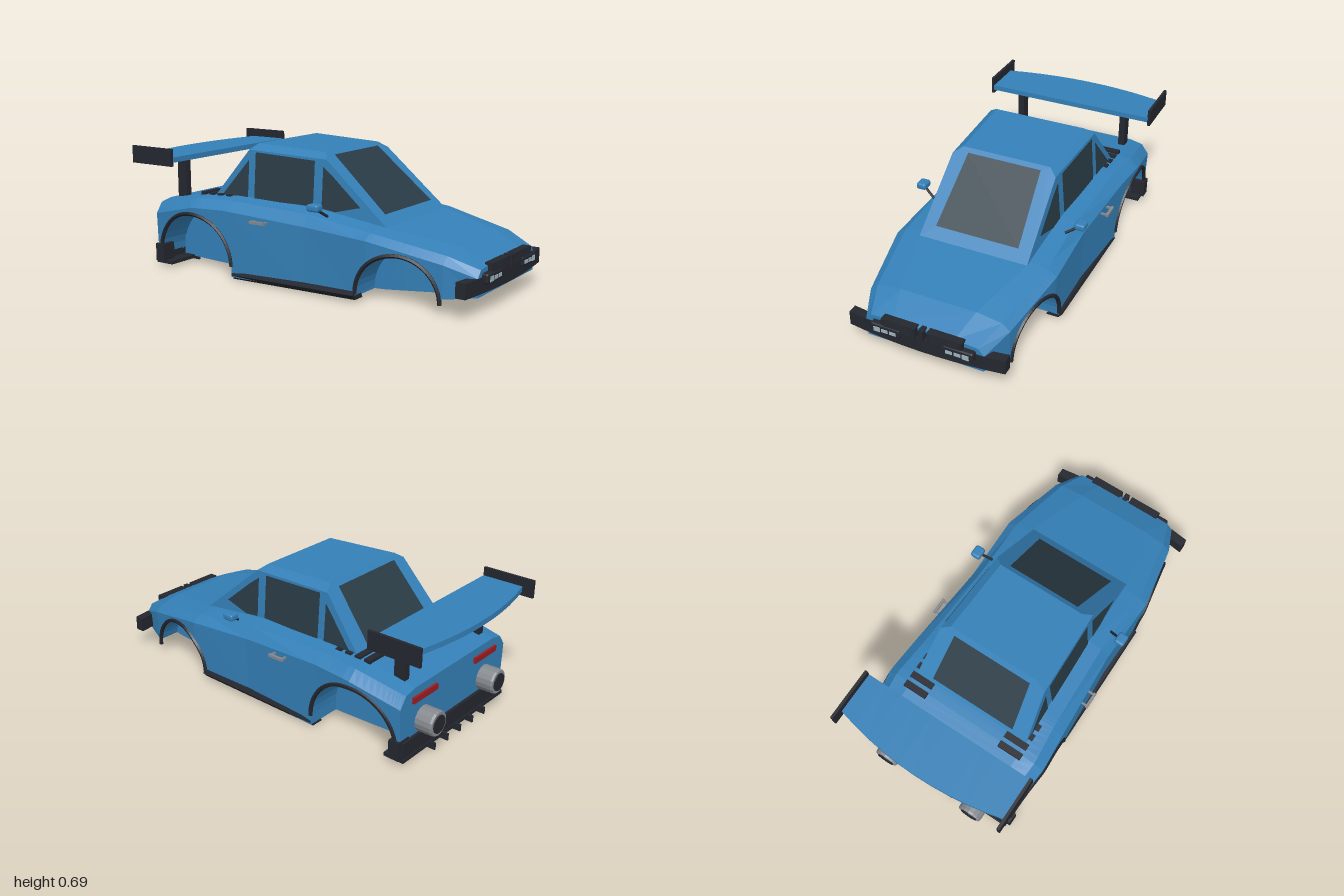
import * as THREE from 'three';
import { ConvexGeometry } from 'three/addons/geometries/ConvexGeometry.js';
import { RoundedBoxGeometry } from 'three/addons/geometries/RoundedBoxGeometry.js';

const mat = (color) => new THREE.MeshStandardMaterial({ color, flatShading: true, side: THREE.DoubleSide });

// Body sections: x, floor y, then z,y pairs as: sill z, waist y,z, shoulder y,z, deck y,z
const KEYS = [
  [-0.88, 0.03, 0.43, 0.29, 0.44, 0.345, 0.40, 0.36, 0.33],
  [-0.60, 0.02, 0.45, 0.355, 0.47, 0.40, 0.42, 0.41, 0.33],
  [-0.40, 0.015, 0.445, 0.36, 0.455, 0.405, 0.40, 0.42, 0.32],
  [0.08, 0.015, 0.42, 0.33, 0.425, 0.385, 0.38, 0.405, 0.30],
  [0.45, 0.035, 0.43, 0.31, 0.438, 0.34, 0.39, 0.355, 0.30],
  [0.82, 0.075, 0.365, 0.235, 0.37, 0.27, 0.33, 0.29, 0.20],
  [0.965, 0.09, 0.305, 0.18, 0.31, 0.215, 0.28, 0.225, 0.16],
];
const ARCHES = [{ x: -0.61, y: 0.07, r: 0.25 }, { x: 0.595, y: 0.045, r: 0.21 }];
const WELL_Z = 0.25;

function sectionAt(x) {
  let i = 0;
  while (i < KEYS.length - 2 && x > KEYS[i + 1][0]) i++;
  const a = KEYS[i], b = KEYS[i + 1], t = (x - a[0]) / (b[0] - a[0]);
  return a.map((v, k) => v + (b[k] - v) * t);
}

// Width of the lower side panel at a given height
function panelZ(x, y) {
  const [, floor, sill, waistY, waistZ] = sectionAt(x);
  return sill + (waistZ - sill) * (y - floor) / (waistY - floor);
}

// Closed ring of one cross-section; archY lifts the side to open the wheel well
function ringAt(x, archY) {
  const [, floor, , waistY, waistZ, shY, shZ, topY, topZ] = sectionAt(x);
  const ay = Math.max(archY ?? floor, floor);
  const half = [[WELL_Z, floor], [WELL_Z, ay], [panelZ(x, ay), ay],
    [waistZ, waistY], [shZ, shY], [topZ, topY]];
  return [...half, ...half.map(([z, y]) => [-z, y]).reverse()].map(([z, y]) => [x, y, z]);
}

function bodyGeometry() {
  const stations = KEYS.map((k) => [k[0]]).filter(([x]) => !ARCHES.some((a) => Math.abs(x - a.x) <= a.r));
  for (const a of ARCHES) {
    const samples = [];
    for (let i = 0; i <= 20; i++) {
      const t = Math.PI * (1 - i / 20);
      samples.push([a.x + a.r * Math.cos(t), a.y + a.r * Math.sin(t)]);
    }
    stations.push([a.x - a.r], ...samples, [a.x + a.r]);
  }
  stations.sort((p, q) => Math.abs(p[0] - q[0]) < 1e-6 ? 0 : p[0] - q[0]);
  const rings = stations.map(([x, y]) => ringAt(x, y));
  const pos = [], n = rings[0].length, last = rings.length - 1;
  for (let j = 0; j < n; j++) {
    const k = (j + 1) % n;
    for (let i = 0; i < last; i++) {
      const a = rings[i][j], b = rings[i][k], c = rings[i + 1][j], d = rings[i + 1][k];
      pos.push(...a, ...c, ...b, ...b, ...c, ...d);
    }
    pos.push(-0.88, 0.2, 0, ...rings[0][j], ...rings[0][k]);
    pos.push(0.965, 0.15, 0, ...rings[last][k], ...rings[last][j]);
  }
  const g = new THREE.BufferGeometry();
  g.setAttribute('position', new THREE.Float32BufferAttribute(pos, 3));
  g.computeVertexNormals();
  return g;
}

// Flat convex pane from a list of corners
function paneGeometry(corners) {
  const pos = [];
  for (let i = 1; i < corners.length - 1; i++) pos.push(...corners[0], ...corners[i], ...corners[i + 1]);
  const g = new THREE.BufferGeometry();
  g.setAttribute('position', new THREE.Float32BufferAttribute(pos, 3));
  g.computeVertexNormals();
  return g;
}

export function createModel() {
  const car = new THREE.Group();
  car.name = 'sportsCar';
  const blue = mat(0x3480b8), dark = mat(0x24272f), glass = mat(0x2a3c46);
  const grey = mat(0x85898e), red = mat(0x9c1c22), lens = mat(0x9fb4c0);
  const add = (name, geometry, material) => {
    const m = new THREE.Mesh(geometry, material);
    m.name = name;
    car.add(m);
    return m;
  };
  // Box given by its extents
  const box = (name, material, x0, x1, y0, y1, z0, z1) => {
    const m = add(name, new THREE.BoxGeometry(x1 - x0, y1 - y0, Math.abs(z1 - z0)), material);
    m.position.set((x0 + x1) / 2, (y0 + y1) / 2, (z0 + z1) / 2);
    return m;
  };

  add('body', bodyGeometry(), blue);

  // Cabin
  const sideZ = (x, y) => 0.33 - 0.08 * (y - 0.41) - 0.04 * (x + 0.55);
  const frontX = (y) => 0.09 + (0.675 - y) * 1.185;
  const rearX = (y) => -0.32 - (0.69 - y) * 0.82;
  const hull = [];
  for (const s of [1, -1]) {
    for (const [x, y] of [[rearX(0.36), 0.36], [rearX(0.66), 0.66], [frontX(0.645), 0.645], [frontX(0.35), 0.35]])
      hull.push(new THREE.Vector3(x, y, s * sideZ(x, y)));
    hull.push(new THREE.Vector3(-0.32, 0.69, s * 0.255), new THREE.Vector3(0.09, 0.675, s * 0.24));
  }
  add('cabin', new ConvexGeometry(hull), blue);

  // Windows
  const endPane = (name, lineX, off, yTop, zTop, yLow, zLow) => add(name, paneGeometry(
    [[yTop, zTop], [yTop, -zTop], [yLow, -zLow], [yLow, zLow]].map(([y, z]) => [lineX(y) + off, y + 0.003, z])), glass);
  endPane('windshield', frontX, 0.004, 0.657, 0.2, 0.395, 0.225);
  endPane('rearWindow', rearX, -0.004, 0.665, 0.22, 0.435, 0.24);
  const sidePanes = {
    doorWindow: [[-0.3, 0.65], [0.06, 0.635], [0.06, 0.41], [-0.3, 0.41]],
    rearQuarterWindow: [[-0.34, 0.61], [-0.34, 0.415], [-0.505, 0.415]],
    frontQuarterWindow: [[0.11, 0.61], [0.17, 0.565], [0.33, 0.43], [0.19, 0.395], [0.11, 0.405]],
  };

  for (const s of [1, -1]) {
    const side = s > 0 ? 'Left' : 'Right';
    for (const [name, pts] of Object.entries(sidePanes))
      add(name + side, paneGeometry(pts.map(([x, y]) => [x, y, s * (sideZ(x, y) + 0.004)])), glass);

    // Wheel arch trims
    for (const a of ARCHES) {
      const pts = [];
      for (let i = 0; i <= 20; i++) {
        const t = Math.PI * i / 20;
        const x = a.x + a.r * Math.cos(t), y = a.y + a.r * Math.sin(t);
        pts.push(new THREE.Vector3(x, y, s * panelZ(x, y)));
      }
      add('archTrim' + side, new THREE.TubeGeometry(new THREE.CatmullRomCurve3(pts), 32, 0.011, 5), dark);
    }

    // Side skirt: slanted lip under the sill
    const lip = [];
    for (const [x, y] of [[-0.36, 0.002], [0.385, 0.014]])
      for (const [z, h] of [[0.36, 0], [0.425, 0], [0.447, 0.025], [0.44, 0.042], [0.38, 0.042]])
        lip.push(new THREE.Vector3(x, y + h, s * z));
    add('sideSkirt' + side, new ConvexGeometry(lip), dark);

    // Door handle
    box('doorHandle' + side, grey, -0.21, -0.12, 0.32, 0.334, s * 0.466, s * 0.48);
    for (const x of [-0.205, -0.135]) box('handleMount' + side, grey, x, x + 0.01, 0.322, 0.332, s * 0.42, s * 0.468);

    // Mirror on its arm
    const mirror = add('mirror' + side, new RoundedBoxGeometry(0.065, 0.036, 0.054, 2, 0.012), blue);
    mirror.position.set(0.165, 0.437, s * 0.443);
    add('mirrorArm' + side, new THREE.TubeGeometry(new THREE.LineCurve3(
      new THREE.Vector3(0.19, 0.385, s * 0.37), new THREE.Vector3(0.168, 0.428, s * 0.435)), 1, 0.007, 6), dark);

    // Deck vents
    [-0.638, -0.582, -0.525, -0.468].forEach((x) => box('deckVent' + side, dark, x, x + 0.034, 0.395, 0.42, s * 0.22, s * 0.35));

    // Spoiler post and end plate
    box('spoilerPost' + side, dark, -0.82, -0.76, 0.36, 0.585, s * 0.295, s * 0.33);
    box('spoilerEndPlate' + side, dark, -1, -0.72, 0.56, 0.652, s * 0.468, s * 0.483);

    // Exhaust pipe with dark bore
    const pipe = [[0.045, -0.02], [0.045, 0.1], [0.06, 0.1], [0.065, 0.09], [0.065, 0]].map(([r, y]) => new THREE.Vector2(r, y));
    const bore = new THREE.CylinderGeometry(0.046, 0.046, 0.07, 16);
    const exhaust = add('exhaust' + side, new THREE.LatheGeometry(pipe, 16), grey);
    const inner = add('exhaustBore' + side, bore, dark);
    for (const m of [exhaust, inner]) m.rotation.z = Math.PI / 2;
    exhaust.position.set(-0.87, 0.175, s * 0.26);
    inner.position.set(-0.94, 0.175, s * 0.26);

    // Tail light and rear corner flap
    box('tailLight' + side, red, -0.892, -0.87, 0.287, 0.317, s * 0.16, s * 0.35);
    box('rearCorner' + side, dark, -0.885, -0.828, 0.03, 0.125, s * 0.37, s * 0.45);

    // Grille with slats
    box('grille' + side, dark, 0.95, 0.992, 0.175, 0.235, s * 0.03, s * 0.21);
    for (let i = 0; i < 4; i++) {
      const y = 0.186 + i * 0.012;
      box('grilleSlat' + side, dark, 0.99, 0.996, y, y + 0.005, s * 0.045, s * 0.195);
    }

    // Headlight with three lenses
    const lamp = add('headlight' + side, new RoundedBoxGeometry(0.05, 0.05, 0.158, 2, 0.01), dark);
    lamp.position.set(0.972, 0.173, s * 0.19);
    for (const [z, w, h] of [[0.232, 0.034, 0.026], [0.19, 0.034, 0.018], [0.147, 0.034, 0.018]])
      box('headlightLens' + side, lens, 0.985, 1, 0.17 - h / 2, 0.17 + h / 2, s * (z - w / 2), s * (z + w / 2));
  }
  box('grilleCentre', dark, 0.95, 0.994, 0.175, 0.235, -0.013, 0.013);

  // Front bumper, ends swept back
  const bumper = new THREE.BoxGeometry(0.05, 0.075, 0.82, 1, 1, 10);
  const bp = bumper.attributes.position;
  for (let i = 0; i < bp.count; i++) bp.setX(i, bp.getX(i) - 0.03 * (bp.getZ(i) / 0.41) ** 2);
  add('frontBumper', bumper, dark).position.set(0.96, 0.143, 0);

  // Spoiler wing, trailing edge bowed rearward
  const wing = new THREE.BoxGeometry(0.22, 0.028, 0.94, 1, 1, 10);
  const wp = wing.attributes.position;
  for (let i = 0; i < wp.count; i++)
    if (wp.getX(i) < 0) wp.setX(i, wp.getX(i) - 0.06 * (1 - (wp.getZ(i) / 0.47) ** 2));
  add('spoilerWing', wing, blue).position.set(-0.83, 0.594, 0);

  // Rear bumper and diffuser fins
  box('rearBumper', dark, -0.895, -0.86, 0.03, 0.115, -0.43, 0.43);
  box('diffuser', dark, -0.9, -0.79, 0.015, 0.034, -0.43, 0.43);
  for (let i = -2; i <= 2; i++) box('diffuserFin', dark, -0.93, -0.785, 0, 0.036, i * 0.108 - 0.005, i * 0.108 + 0.005);

  return car;
}
